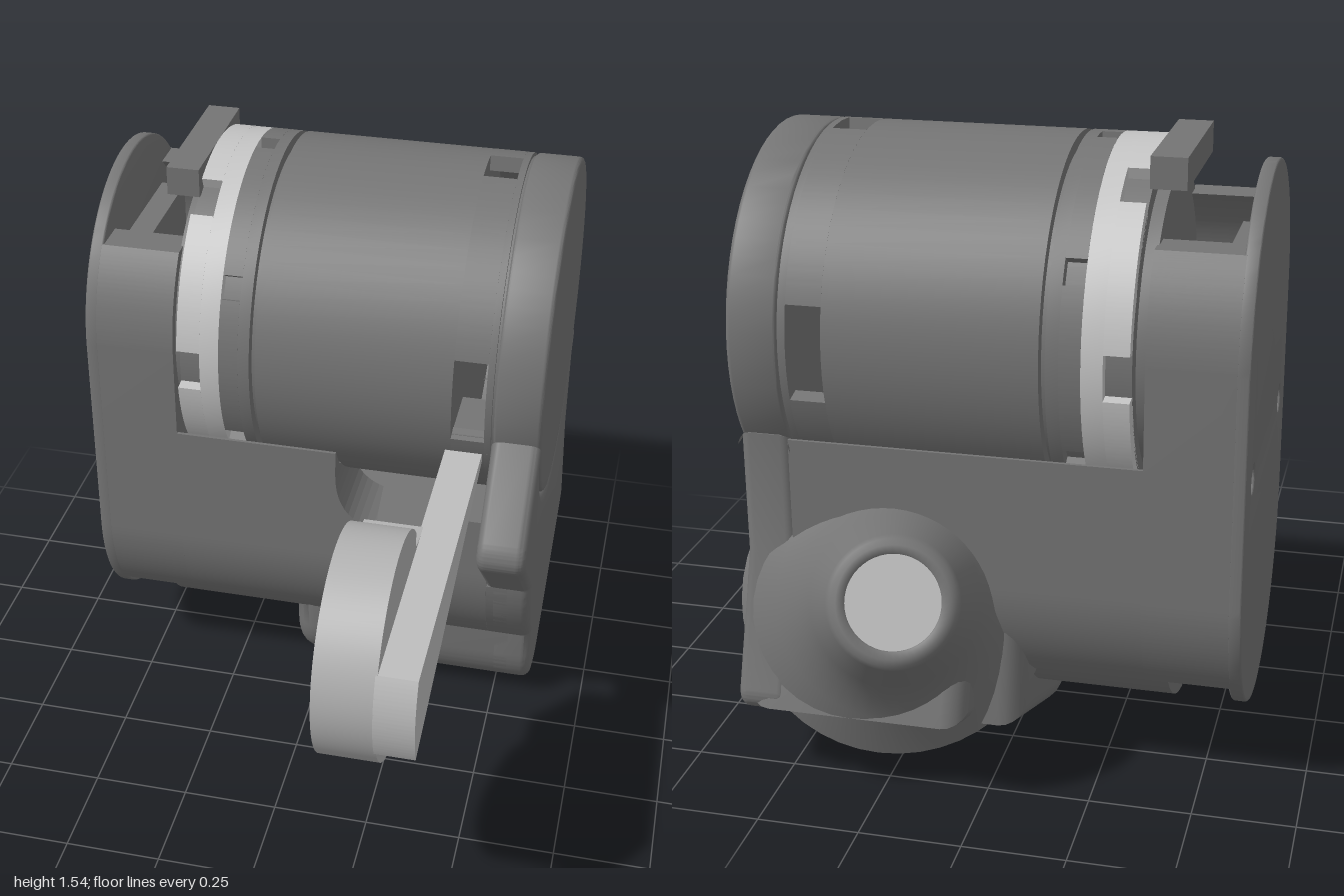
import * as THREE from 'three';
import { toCreasedNormals } from 'three/addons/utils/BufferGeometryUtils.js';

const mat = (name, color) => {
  const m = new THREE.MeshStandardMaterial({ color });
  m.name = name;
  return m;
};

// Profiles are drawn in (u, y) with u = -z, then extruded along x.
const CU = 0.335, CY = 1.1, R = 0.445;   // drum axis and radius
const SR = 0.395, TOP = 1.105, LOW = 0.54; // rounded plate radius and arc centres

export function createModel() {
  const model = new THREE.Group();
  const body = mat('body grey', 0x747474);
  const ringGrey = mat('ring light grey', 0xc4c4c4);
  const wheelGrey = mat('wheel grey', 0xb2b2b2);
  const armGrey = mat('arm light grey', 0xbebebe);

  const add = (name, geometry, material) => {
    const mesh = new THREE.Mesh(geometry, material);
    mesh.name = name;
    model.add(mesh);
    return mesh;
  };
  const extrude = (name, shape, x0, x1, material = body, bevel = 0) => {
    const g = new THREE.ExtrudeGeometry(shape, {
      depth: x1 - x0 - 2 * bevel, curveSegments: 32, bevelEnabled: bevel > 0,
      bevelSize: bevel, bevelThickness: bevel, bevelOffset: -bevel, bevelSegments: 5,
    });
    g.translate(0, 0, x0 + bevel).rotateY(Math.PI / 2);
    return add(name, toCreasedNormals(g, 0.6), material);
  };
  const disc = (name, r, x0, x1, material = body, bevel = 0) =>
    extrude(name, new THREE.Shape().absarc(CU, CY, r, 0, Math.PI * 2), x0, x1, material, bevel);
  const box = (name, x0, x1, y0, y1, z0, z1, material = body) =>
    add(name, new THREE.BoxGeometry(x1 - x0, y1 - y0, z1 - z0)
      .translate((x0 + x1) / 2, (y0 + y1) / 2, (z0 + z1) / 2), material);

  // Ring with gaps, each given as [angle, half width] in degrees, in rising order
  const gappedRing = (name, x0, x1, ri, gaps, material = body) => {
    const rad = THREE.MathUtils.degToRad;
    gaps.forEach(([a, h], i) => {
      const [b, k] = gaps[(i + 1) % gaps.length];
      const from = rad(a + h), to = rad((b <= a ? b + 360 : b) - k);
      const s = new THREE.Shape();
      s.absarc(CU, CY, R, from, to, false);
      s.absarc(CU, CY, ri, to, from, true);
      s.closePath();
      extrude(name, s, x0, x1, material);
    });
  };
  const sixGaps = (start, half) => Array.from({ length: 6 }, (_, i) => [start + i * 60, half]);

  // Drum with see-through windows, and its end cap
  disc('drumCore', 0.415, -0.34, 0.3);
  disc('drum', R, -0.135, 0.37);
  gappedRing('drumWindowBand', 0.37, 0.455, 0.405, [[0, 15], [90, 8], [180, 15]]);
  disc('drumRim', R, 0.455, 0.472);
  disc('drumSeam', 0.435, 0.472, 0.48);
  disc('drumCap', R, 0.477, 0.6, body, 0.012);

  // Notched collar and light ring
  disc('collar', R, -0.18, -0.15);
  gappedRing('collarTeeth', -0.23, -0.18, 0.41, sixGaps(30, 4));
  disc('lightRing', R, -0.28, -0.23, ringGrey);
  gappedRing('lightRingTeeth', -0.34, -0.28, 0.405, sixGaps(0, 7), ringGrey);
  disc('ringBacking', 0.37, -0.37, -0.34);
  box('topTab', -0.42, -0.335, 1.47, 1.545, -CU - 0.2, -CU + 0.2);

  // End plate with two holes
  const plate = new THREE.Shape();
  plate.absarc(CU, TOP, SR, 0, Math.PI, false);
  plate.absarc(CU, LOW, SR, Math.PI, Math.PI * 2, false);
  plate.closePath();
  for (const s of [-1, 1])
    plate.holes.push(new THREE.Path().absarc(CU + s * 0.27, 0.82, 0.035, 0, Math.PI * 2, true));
  extrude('endPlate', plate, -0.6, -0.565, body, 0.006);
  box('plateRib', -0.566, -0.5, 0.36, 1.3, -CU - 0.2, -CU + 0.2);

  // Side walls between end plate and drum
  for (const s of [1, -1]) {
    const outer = new THREE.Path(), ri = 0.33;
    const a0 = Math.asin((0.29 - LOW) / SR), a1 = Math.asin((1.36 - TOP) / SR);
    const b0 = Math.asin((0.29 - LOW) / ri), b1 = Math.asin((1.36 - TOP) / ri);
    outer.absarc(0, LOW, SR, a0, 0, false);
    outer.absarc(0, TOP, SR, 0, a1, false);
    outer.absarc(0, TOP, ri, b1, 0, true);
    outer.absarc(0, LOW, ri, 0, b0, true);
    const pts = outer.getPoints(24).map(p => new THREE.Vector2(CU + s * p.x, p.y));
    extrude('sideWall', new THREE.Shape(pts), -0.57, -0.365);
  }

  // Cradle under the drum
  const cradle = new THREE.Shape();
  cradle.moveTo(CU - SR, 0.87);
  cradle.lineTo(CU - SR, LOW);
  cradle.absarc(CU, LOW, SR, Math.PI, Math.PI * 2, false);
  cradle.lineTo(CU + SR, 0.87);
  cradle.absarc(CU, CY, 0.45, -0.536, -Math.PI + 0.536, true);
  cradle.closePath();
  extrude('cradle', cradle, -0.42, 0.065);

  // Cradle section with the front cut low for the arm
  const open = new THREE.Shape();
  open.moveTo(CU - SR, 0.64);
  open.lineTo(CU - SR, LOW);
  open.absarc(CU, LOW, SR, Math.PI, Math.PI * 2, false);
  open.lineTo(CU + SR, 0.87);
  open.absarc(CU, CY, 0.45, -0.536, -Math.PI / 2, true);
  open.closePath();
  extrude('openCradle', open, 0.065, 0.48);

  // Rounded inner corner of the front opening
  const fillet = new THREE.Shape();
  fillet.moveTo(0.06, 0.635);
  fillet.lineTo(0.21, 0.635);
  fillet.quadraticCurveTo(0.065, 0.645, 0.065, 0.8);
  fillet.lineTo(0.06, 0.8);
  fillet.closePath();
  add('openingFillet', new THREE.ExtrudeGeometry(fillet, { depth: 0.2, bevelEnabled: false })
    .translate(0, 0, -0.14), body);

  // Side housing with the front nose and lower tail
  const lowerFront = s => {
    s.lineTo(0.33, 0.015);
    s.quadraticCurveTo(0.28, -0.005, 0.22, 0.01);
    s.quadraticCurveTo(0.08, 0.04, 0.07, 0.17);
    s.lineTo(0.065, 0.25);
    s.quadraticCurveTo(-0.04, 0.37, -0.055, 0.5);
  };
  const side = new THREE.Shape();
  side.moveTo(0.73, 0.88);
  side.lineTo(0.73, 0.57);
  side.lineTo(0.838, 0.26);
  side.quadraticCurveTo(0.855, 0.21, 0.8, 0.19);
  lowerFront(side);
  side.lineTo(-0.28, 0.72);
  side.quadraticCurveTo(-0.32, 0.76, -0.28, 0.81);
  side.lineTo(-0.104, 0.999);
  side.absarc(CU, CY, 0.45, Math.PI + 0.226, Math.PI * 2 - 0.51, false);
  side.closePath();
  extrude('sideHousing', side, 0.475, 0.6, body, 0.025);

  // Lower block and back wedge
  const block = new THREE.Shape();
  block.moveTo(0.7, 0.55);
  block.lineTo(0.73, 0.17);
  lowerFront(block);
  block.closePath();
  extrude('lowerBlock', block, -0.08, 0.597, body, 0.06);
  const wedge = new THREE.Shape();
  wedge.moveTo(0.45, 0.65);
  wedge.lineTo(0.73, 0.58);
  wedge.lineTo(0.85, 0.215);
  wedge.lineTo(0.45, 0.062);
  wedge.closePath();
  extrude('backWedge', wedge, 0.03, 0.58, body, 0.06);

  // Slanted back nozzle with a light lens
  const nozzle = new THREE.Group();
  nozzle.name = 'nozzle';
  const profile = [[0.38, -0.33], [0.29, -0.25], [0.235, -0.19], [0.2, -0.12], [0.155, -0.02],
    [0.145, -0.005], [0.13, 0], [0.112, 0], [0.108, -0.015]];
  const cone = new THREE.Mesh(new THREE.LatheGeometry(
    profile.map(p => new THREE.Vector2(...p)), 48), body);
  cone.name = 'nozzleCone';
  const lens = new THREE.Mesh(new THREE.CylinderGeometry(0.11, 0.11, 0.008, 48)
    .translate(0, -0.012, 0), armGrey);
  lens.name = 'lens';
  nozzle.add(cone, lens);
  nozzle.position.set(0.165, 0.585, -0.94);
  nozzle.quaternion.setFromUnitVectors(new THREE.Vector3(0, 1, 0),
    new THREE.Vector3(-0.25, 0.42, -0.9).normalize());
  model.add(nozzle);

  // Arm, its bracket and the wheel
  const WU = -0.73, WY = 0.825, WR = 0.27;
  box('armBracket', 0.36, 0.478, 0.94, 0.99, -0.1, 0.08);
  box('armBracket', 0.36, 0.478, 0.64, 0.71, -0.1, 0.06);
  const arm = new THREE.Shape();
  arm.moveTo(0.05, 0.71);
  arm.absarc(WU, WY, WR, Math.PI + 0.44, Math.PI - 0.44, true);
  arm.lineTo(0.05, 0.94);
  arm.closePath();
  extrude('arm', arm, 0.355, 0.45, armGrey);
  const wheel = new THREE.Shape();
  wheel.absarc(WU, WY, WR, 0.68, Math.PI * 2 - 0.68, false);
  wheel.lineTo(-0.52, 0.7);
  wheel.quadraticCurveTo(-0.5, 0.71, -0.42, 0.71);
  wheel.lineTo(-0.42, 0.94);
  wheel.quadraticCurveTo(-0.5, 0.94, -0.52, 0.955);
  wheel.closePath();
  extrude('wheel', wheel, 0.215, 0.36, wheelGrey);

  return model;
}
